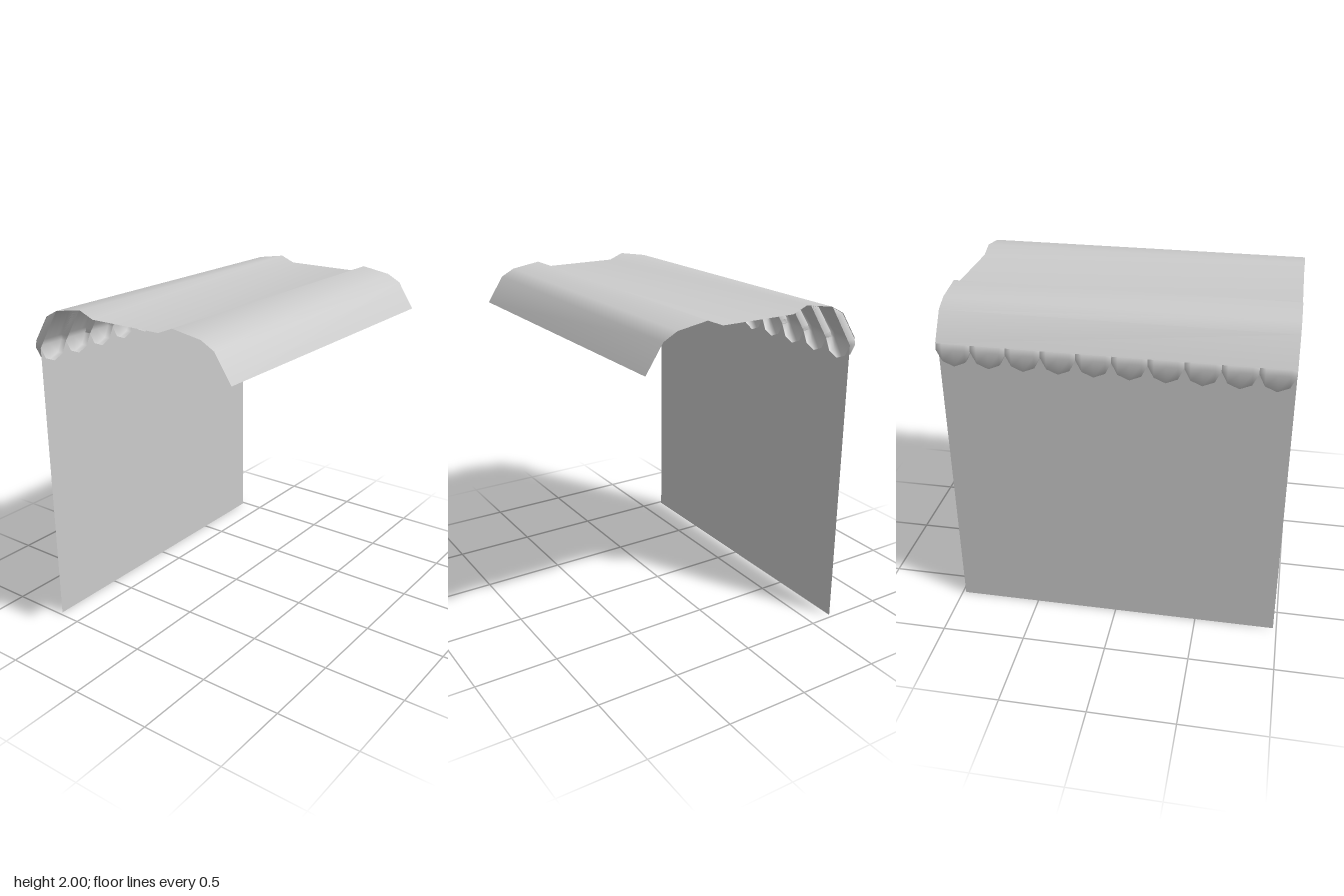
import * as THREE from 'three';
import { mergeVertices } from 'three/addons/utils/BufferGeometryUtils.js';

const material = new THREE.MeshStandardMaterial({ color: 0xcccccc, side: THREE.DoubleSide });
const HALF = 0.98;      // half length along z
const COUNT = 10;       // scalloped pockets along the eave
const WIDTH = (2 * HALF) / COUNT;
const CUSP = 1.735;

// Lower edge of one pocket: z offset from its centre, height
const ARC = [[0.098, CUSP], [0.065, 1.668], [0, 1.64], [-0.065, 1.668], [-0.098, CUSP]];

// Smooth surface through rows of [x, y, z] points
function gridSurface(rows) {
  const cols = rows[0].length;
  const index = [];
  for (let r = 0; r < rows.length - 1; r++) {
    for (let c = 0; c < cols - 1; c++) {
      const a = r * cols + c, b = a + cols;
      index.push(a, a + 1, b, a + 1, b + 1, b);
    }
  }
  const geometry = new THREE.BufferGeometry();
  geometry.setAttribute('position', new THREE.Float32BufferAttribute(rows.flat(2), 3));
  geometry.setIndex(index);
  const welded = mergeVertices(geometry, 1e-4);
  welded.computeVertexNormals();
  return welded;
}

function named(name, geometry) {
  const mesh = new THREE.Mesh(geometry, material);
  mesh.name = name;
  return mesh;
}

// Curved sheet, mirrored about x = 0
function roofGeometry() {
  const half = [[0.685, 1.77], [0.582, 1.927], [0.5, 1.971], [0.32, 2.0], [0.228, 1.963]];
  const profile = [...half.map(([x, y]) => [-x, y]), ...half.slice().reverse()];
  return gridSurface([HALF, -HALF].map((z) => profile.map(([x, y]) => [x, y, z])));
}

// Open pocket: rounded sill, back under the roof, and a fin on each side
function pocketGeometry() {
  const inner = -0.65, outer = -0.69, edge = WIDTH / 2;
  const row = (fin, points) => [[...fin, edge], ...points, [...fin, -edge]];
  const arcAt = (x) => ARC.map(([z, y]) => [x, y, z]);
  const rows = [
    row([inner, CUSP], arcAt(inner)),
    row([inner, CUSP], arcAt(outer)),
  ];
  const sections = [
    [[-0.65, CUSP], [-0.69, CUSP]],
    [[-0.632, 1.764], [-0.682, 1.768]],
    [[-0.545, 1.902], [-0.578, 1.926]],
    [[-0.505, 1.965], [-0.505, 1.967]],
  ];
  for (const [fin, back] of sections) rows.push(row(fin, ARC.map(([z]) => [...back, z])));
  return gridSurface(rows);
}

// Flat side sheet whose top edge follows the pockets
function wallGeometry() {
  const shape = new THREE.Shape();
  shape.moveTo(-HALF, 0);
  shape.lineTo(HALF, 0);
  for (let i = 0; i < COUNT; i++) {
    const centre = HALF - WIDTH * (i + 0.5);
    ARC.slice(i ? 1 : 0).forEach(([z, y]) => shape.lineTo(centre + z, y));
  }
  shape.closePath();
  return new THREE.ShapeGeometry(shape).rotateY(-Math.PI / 2).translate(-0.65, 0, 0);
}

export function createModel() {
  const model = new THREE.Group();
  model.name = 'canopy';
  model.add(named('roofSheet', roofGeometry()), named('sideWall', wallGeometry()));

  const pockets = new THREE.Group();
  pockets.name = 'scallopedEave';
  const geometry = pocketGeometry();
  for (let i = 0; i < COUNT; i++) {
    const pocket = named('scallop', geometry);
    pocket.position.z = HALF - WIDTH * (i + 0.5);
    pockets.add(pocket);
  }
  model.add(pockets);
  return model;
}
